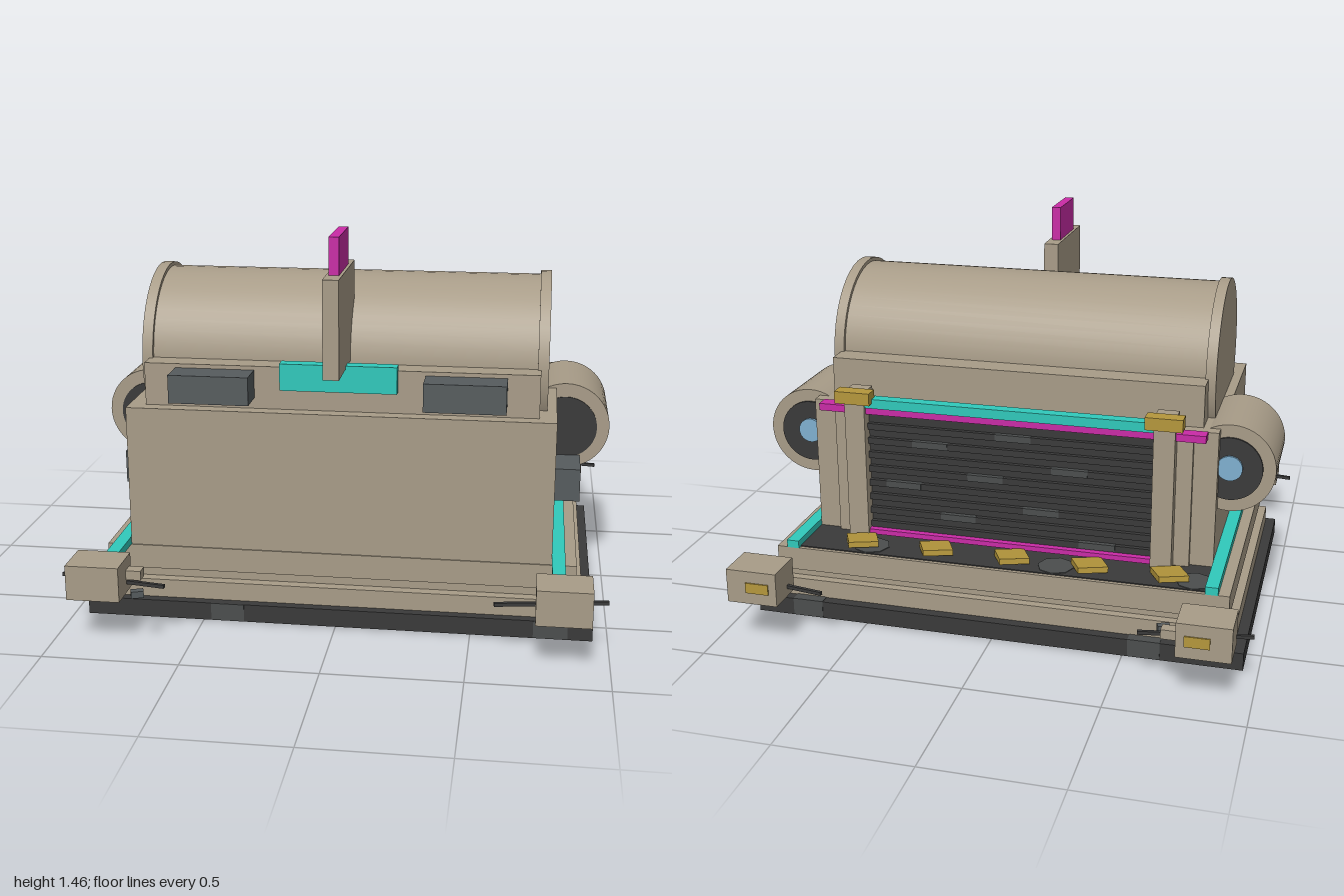
import * as THREE from 'three';

const mat = (name, color, side = THREE.FrontSide) => {
  const m = new THREE.MeshStandardMaterial({ color, side });
  m.name = name;
  return m;
};

export function createModel() {
  const tan = mat('tan hull', 0xa89c88);
  const dark = mat('dark plating', 0x3a3a3a);
  const patch = mat('plating patch', 0x4b4e4e);
  const grey = mat('blue grey', 0x565c5e);
  const teal = mat('teal', 0x30c9bb);
  const magenta = mat('magenta', 0xc92ba6);
  const gold = mat('gold', 0xb5973c);
  const blue = mat('lens blue', 0x7fb0d0);

  const model = new THREE.Group();
  model.name = 'machine';
  const add = (name, geo, m, x = 0, y = 0, z = 0) => {
    const mesh = new THREE.Mesh(geo, m);
    mesh.name = name;
    mesh.position.set(x, y, z);
    model.add(mesh);
    return mesh;
  };
  // Box given by its limits on each axis
  const box = (name, m, x0, x1, y0, y1, z0, z1) =>
    add(name, new THREE.BoxGeometry(Math.abs(x1 - x0), y1 - y0, z1 - z0), m,
      (x0 + x1) / 2, (y0 + y1) / 2, (z0 + z1) / 2);
  // The same box on both sides
  const pair = (name, m, x0, x1, ...rest) => {
    for (const s of [1, -1]) box(name, m, s * x0, s * x1, ...rest);
  };
  const cyl = (name, m, r, len, axis, x, y, z) => {
    const g = new THREE.CylinderGeometry(r, r, len, 48);
    if (axis === 'x') g.rotateZ(Math.PI / 2);
    else g.rotateX(Math.PI / 2);
    return add(name, g, m, x, y, z);
  };

  // Stepped base
  box('basePlate', dark, -0.945, 0.945, 0.002, 0.07, -0.63, 0.625);
  box('lowerStep', tan, -0.905, 0.905, 0.07, 0.14, -0.59, 0.59);
  box('middleStep', tan, -0.87, 0.87, 0.14, 0.17, -0.555, 0.55);
  box('upperStep', tan, -0.88, 0.88, 0.17, 0.262, -0.575, 0.555);
  box('rearDeck', dark, -0.79, 0.79, 0.262, 0.266, -0.56, -0.34);

  // Worn patches on the base and deck
  const spots = [[0.41, 0.42, 0.06], [0.65, -0.02, 0.07], [0.54, 0.26, 0.07], [0.31, 0.08, 0.08],
    [0.2, -0.22, 0.09], [0.13, 0.375, 0.07], [-0.4, 0.44, 0.06], [-0.1, -0.23, 0.06],
    [-0.49, -0.1, 0.07], [-0.82, 0.07, 0.06]];
  for (const [x, z, r] of spots) add('underPatch', new THREE.CylinderGeometry(r, r, 0.002, 8), patch, x, 0.001, z);
  for (const [x0, x1] of [[-0.47, -0.345], [0.73, 0.855]])
    box('frontPatch', patch, x0, x1, 0.004, 0.07, 0.622, 0.627);
  for (const [x0, x1] of [[-0.64, -0.52], [0.68, 0.8]])
    box('rearPatch', patch, x0, x1, 0.004, 0.072, -0.632, -0.58);
  for (const x of [-0.74, -0.215, 0.52])
    add('deckPatch', new THREE.CylinderGeometry(0.07, 0.07, 0.003, 8), patch, x, 0.267, -0.49);

  // Main body
  box('body', tan, -0.79, 0.79, 0.26, 0.8, -0.35, 0.55);
  box('upperBody', tan, -0.727, 0.727, 0.8, 0.96, -0.303, 0.497);

  // Drum with end caps
  cyl('drum', tan, 0.308, 1.44, 'x', 0, 0.943, 0.103);
  for (const s of [1, -1]) cyl('drumCap', tan, 0.322, 0.04, 'x', s * 0.735, 0.943, 0.103);

  // Front bumpers, panel and fin
  pair('frontBlock', grey, 0.315, 0.61, 0.84, 0.945, 0.49, 0.61);
  box('frontPanel', teal, -0.215, 0.215, 0.88, 0.98, 0.48, 0.53);
  box('fin', tan, -0.029, 0.029, 0.97, 1.325, 0.29, 0.7);
  box('finTip', magenta, -0.018, 0.018, 1.325, 1.46, 0.375, 0.615);

  // Side pods: hollow-looking front, lens behind
  for (const s of [1, -1]) {
    cyl('sidePod', tan, 0.17, 0.37, 'z', s * 0.83, 0.65, -0.117);
    cyl('podFrontDisc', dark, 0.122, 0.006, 'z', s * 0.83, 0.645, 0.07);
    cyl('podRearDisc', dark, 0.122, 0.01, 'z', s * 0.83, 0.65, -0.306);
    cyl('podLens', blue, 0.048, 0.012, 'z', s * 0.83, 0.655, -0.315);
  }
  pair('sideBlock', grey, 0.78, 0.89, 0.405, 0.532, -0.05, 0.253);

  // Rear grille between pillars
  box('grilleBack', dark, -0.565, 0.565, 0.266, 0.805, -0.37, -0.325);
  for (let i = 0; i < 8; i++) {
    const y = 0.3 + i * 0.058;
    box('grilleSlat', dark, -0.56, 0.56, y, y + 0.026, -0.388, -0.365);
    const x = -0.42 + ((i * 5) % 8) * 0.11;
    box('slatPatch', patch, x, x + 0.14, y + 0.001, y + 0.027, -0.39, -0.366);
  }
  box('grilleTopPatch', patch, 0.08, 0.2, 0.78, 0.807, -0.371, -0.326);
  pair('pillar', tan, 0.56, 0.64, 0.262, 0.865, -0.42, -0.325);
  pair('pillarFlank', tan, 0.64, 0.7, 0.262, 0.79, -0.37, -0.34);
  pair('pillarCap', gold, 0.53, 0.67, 0.822, 0.87, -0.443, -0.383);
  box('upperTrim', magenta, -0.75, 0.75, 0.775, 0.803, -0.405, -0.35);
  box('lowerTrim', magenta, -0.56, 0.56, 0.278, 0.298, -0.41, -0.37);
  box('grilleRail', teal, -0.56, 0.56, 0.803, 0.84, -0.415, -0.367);

  // Angled plates on the rear deck
  for (let i = 0; i < 5; i++) {
    const p = add('deckPlate', new THREE.BoxGeometry(0.115, 0.022, 0.12), gold, -0.645 + i * 0.302, 0.281, -0.482);
    p.rotation.set(0.12, 0.44, 0);
  }

  // Long side rails
  pair('sideRail', teal, 0.79, 0.838, 0.262, 0.292, -0.578, 0.75);

  // Corner boxes with a gold plate and a thin rod
  for (const s of [1, -1]) {
    for (const f of [1, -1]) {
      const z0 = f > 0 ? 0.75 : -0.912, z1 = f > 0 ? 0.905 : -0.758;
      box('cornerBox', tan, s * 0.735, s * 0.93, 0.18, 0.31, z0, z1);
      box('cornerPlate', gold, s * 0.765, s * 0.855, 0.225, 0.265, z0 - 0.005, z0 + 0.002);
      const rod = add('cornerRod', new THREE.BoxGeometry(0.405, 0.013, 0.013), dark, s * 0.79, 0.217, f > 0 ? 0.793 : -0.803);
      rod.rotation.y = s * f * 0.165;
    }
  }
  box('frontStub', tan, -0.74, -0.68, 0.23, 0.265, 0.77, 0.815);
  box('rearStub', tan, -0.74, -0.68, 0.23, 0.265, -0.888, -0.845);

  // Small loose blocks by the corners
  for (const [x, z, w, a] of [[-0.673, 0.886, 0.045, 0.35], [-0.673, -0.77, 0.045, 0.35],
    [-0.755, -0.735, 0.032, 0.7], [0.903, -0.735, 0.032, 0.7]]) {
    const b = add('looseBlock', new THREE.BoxGeometry(w, 0.025, 0.028), grey, x, 0.211, z);
    b.rotation.y = a;
  }
  return model;
}
